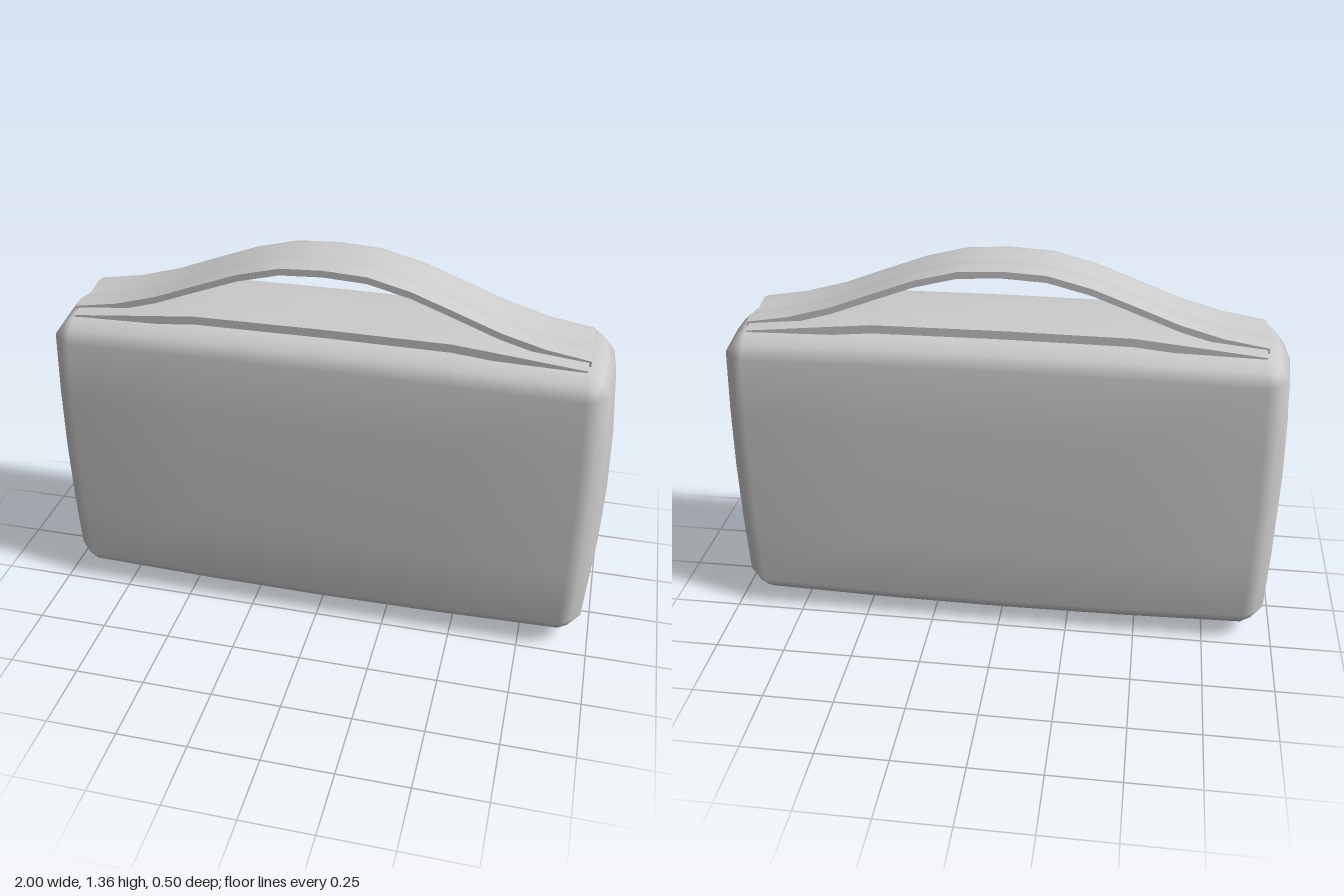
import * as THREE from 'three';
import { mergeVertices } from 'three/addons/utils/BufferGeometryUtils.js';

const material = new THREE.MeshStandardMaterial({ color: 0xcccccc });

// Piecewise-linear lookup in a list of [position, value] pairs
function sample(points, t) {
  for (let i = 1; i < points.length; i++) {
    const [a, va] = points[i - 1], [b, vb] = points[i];
    if (t <= b + 1e-6) return va + (vb - va) * (t - a) / (b - a);
  }
  return points[points.length - 1][1];
}

// Padded case: a box with chamfered edges whose six sides bulge outward
function makeBody() {
  const half = [0.965, 0.53, 0.235], cut = [0.075, 0.075, 0.068];
  const bulge = [0.035, 0.04, 0.013], segments = [6, 6, 4];
  const geo = new THREE.BoxGeometry(2, 2, 2, ...segments);
  const pos = geo.attributes.position;
  for (let i = 0; i < pos.count; i++) {
    const unit = [pos.getX(i), pos.getY(i), pos.getZ(i)];
    const outer = unit.map((u) => Math.abs(u) > 0.999);
    const sides = outer.filter(Boolean).length;
    const p = unit.map((u, a) => {
      const inner = half[a] - cut[a];
      // Outermost grid lines sit halfway along the chamfer
      if (outer[a]) return Math.sign(u) * (inner + cut[a] * (sides === 1 ? 1 : sides === 2 ? 0.56 : 0.42));
      return u / (1 - 2 / segments[a]) * inner;
    });
    const n = p.map((v, a) => Math.min(1, Math.abs(v) / (half[a] - cut[a])));
    const q = p.map((v, a) => {
      const b = (a + 1) % 3, c = (a + 2) % 3;
      const swell = (1 - n[b] ** 2) * (1 - 0.4 * n[c] ** 2) + (1 - n[c] ** 2) * (1 - 0.4 * n[b] ** 2);
      return v + Math.sign(v) * n[a] * bulge[a] * swell / 2;
    });
    pos.setXYZ(i, q[0], q[1] + 0.575, q[2]);
  }
  geo.deleteAttribute('normal');
  geo.deleteAttribute('uv');
  const smooth = mergeVertices(geo, 1e-4);
  smooth.computeVertexNormals();
  return smooth;
}

// Bent strap: 'top' gives height along x, 'across' the change of height along z
function makeStrap(halfLength, halfWidth, thickness, top, across, segments) {
  const geo = new THREE.BoxGeometry(2, 1, 2, segments, 1, 6);
  const pos = geo.attributes.position;
  for (let i = 0; i < pos.count; i++) {
    const x = pos.getX(i) * halfLength, z = pos.getZ(i) * halfWidth;
    const y = sample(top, Math.abs(x)) + sample(across, Math.abs(z));
    pos.setXYZ(i, x, pos.getY(i) > 0 ? y : y - thickness, z);
  }
  geo.computeVertexNormals();
  return geo;
}

export function createModel() {
  const group = new THREE.Group();
  const add = (name, geo) => {
    const mesh = new THREE.Mesh(geo, material);
    mesh.name = name;
    group.add(mesh);
  };

  add('body', makeBody());

  // Flat band lying along the top of the case
  add('topBand', makeStrap(0.885, 0.165, 0.03,
    [[0, 1.173], [0.45, 1.17], [0.885, 1.126]],
    [[0, 0], [0.11, 0], [0.165, -0.015]], 8));

  // Arched carry handle with a shallow groove along its middle
  add('handle', makeStrap(0.893, 0.125, 0.024,
    [[0, 1.353], [0.149, 1.345], [0.298, 1.307], [0.447, 1.251], [0.595, 1.194],
      [0.744, 1.152], [0.893, 1.127]],
    [[0, -0.005], [0.083, 0.01], [0.125, 0]], 24));

  return group;
}
